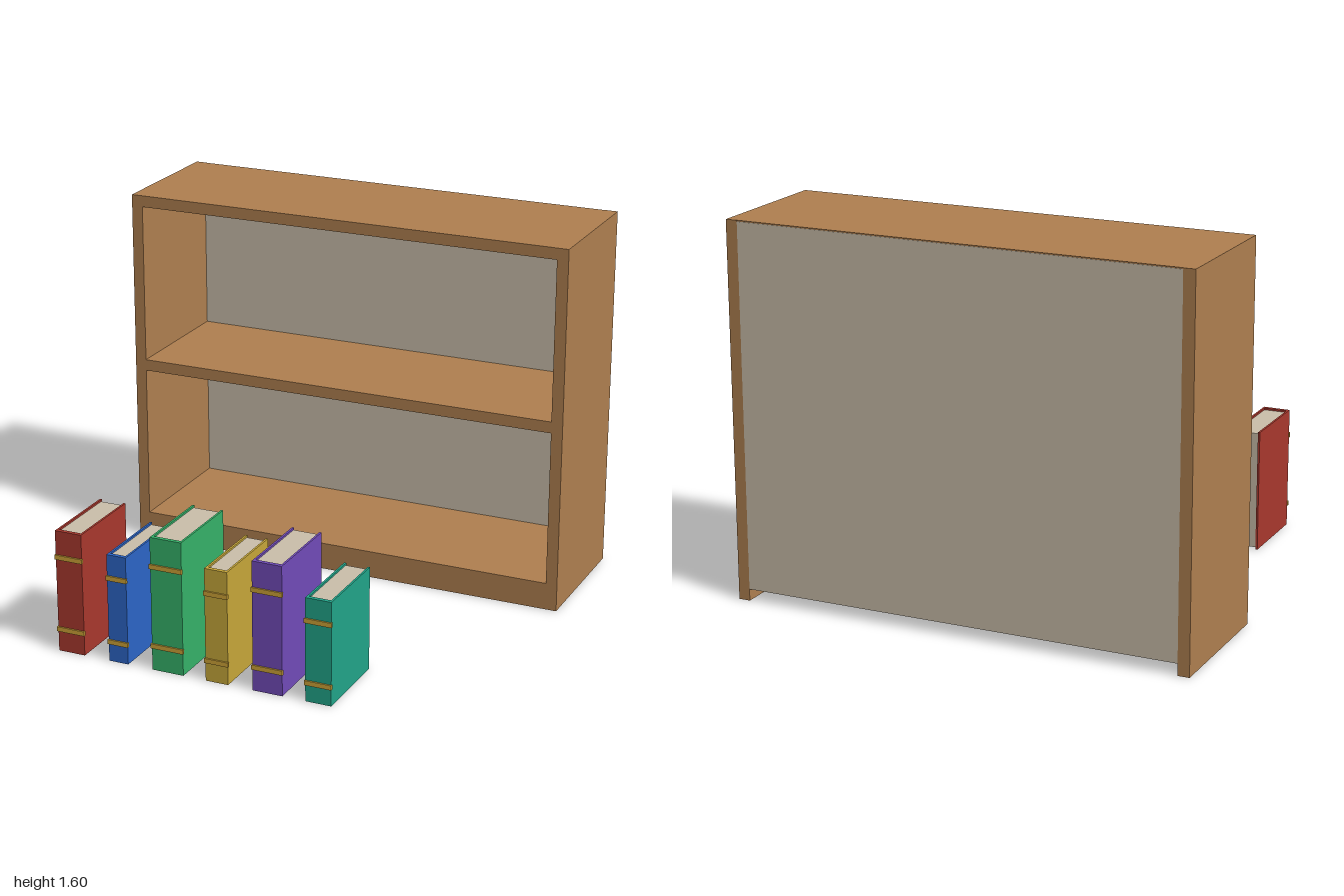
import * as THREE from 'three';

const mat = (name, color) => {
  const m = new THREE.MeshStandardMaterial({ color });
  m.name = name;
  return m;
};

// Box given by its lower and upper limits on each axis
function block(parent, name, material, [x0, x1], [y0, y1], [z0, z1]) {
  const mesh = new THREE.Mesh(new THREE.BoxGeometry(x1 - x0, y1 - y0, z1 - z0), material);
  mesh.position.set((x0 + x1) / 2, (y0 + y1) / 2, (z0 + z1) / 2);
  mesh.name = name;
  parent.add(mesh);
}

export function createModel() {
  const model = new THREE.Group();
  model.name = 'bookcaseWithBooks';
  const wood = mat('wood', 0xb08050);
  const cream = mat('cream', 0xcbbfab);
  const gold = mat('gold', 0xcfa438);

  // Bookcase: sides, three boards, plinth and back panel
  const bookcase = new THREE.Group();
  bookcase.name = 'bookcase';
  model.add(bookcase);
  const inner = [-0.95, 0.95];
  block(bookcase, 'rightSide', wood, [-1, -0.95], [0, 1.6], [-0.92, -0.3]);
  block(bookcase, 'leftSide', wood, [0.95, 1], [0, 1.6], [-0.92, -0.3]);
  block(bookcase, 'topBoard', wood, inner, [1.55, 1.6], [-0.918, -0.3]);
  block(bookcase, 'middleShelf', wood, inner, [0.8, 0.85], [-0.91, -0.3]);
  block(bookcase, 'bottomShelf', wood, inner, [0.07, 0.12], [-0.91, -0.3]);
  block(bookcase, 'plinth', wood, inner, [0, 0.07], [-0.33, -0.3]);
  block(bookcase, 'backPanel', cream, inner, [0.05, 1.595], [-0.92, -0.9]);

  // Books: name, colour, centre x, width, height
  const books = [
    ['red', 0xaa392e, -0.666, 0.12, 0.533],
    ['blue', 0x2c66c8, -0.448, 0.087, 0.47],
    ['green', 0x36b36a, -0.223, 0.14, 0.58],
    ['yellow', 0xc8a83a, -0.002, 0.1, 0.49],
    ['purple', 0x724cba, 0.222, 0.13, 0.56],
    ['teal', 0x22a58a, 0.443, 0.112, 0.447],
  ];
  for (const [name, color, x, w, h] of books) {
    const cover = mat(name, color);
    const book = new THREE.Group();
    book.name = name + 'Book';
    book.position.x = x;
    model.add(book);
    const r = w / 2, t = 0.009;
    block(book, 'rightCover', cover, [-r, -r + t], [0, h], [0.54, 0.913]);
    block(book, 'leftCover', cover, [r - t, r], [0, h], [0.54, 0.913]);
    block(book, 'spine', cover, [-r + t, r - t], [0, h], [0.895, 0.913]);
    block(book, 'pages', cream, [-r + t, r - t], [0.008, h - 0.008], [0.546, 0.895]);
    // Raised bands across the spine
    for (const f of [0.185, 0.785]) {
      block(book, 'spineBand', gold, [-r - 0.003, r + 0.003], [f * h - 0.01, f * h + 0.01], [0.908, 0.92]);
    }
  }
  return model;
}
